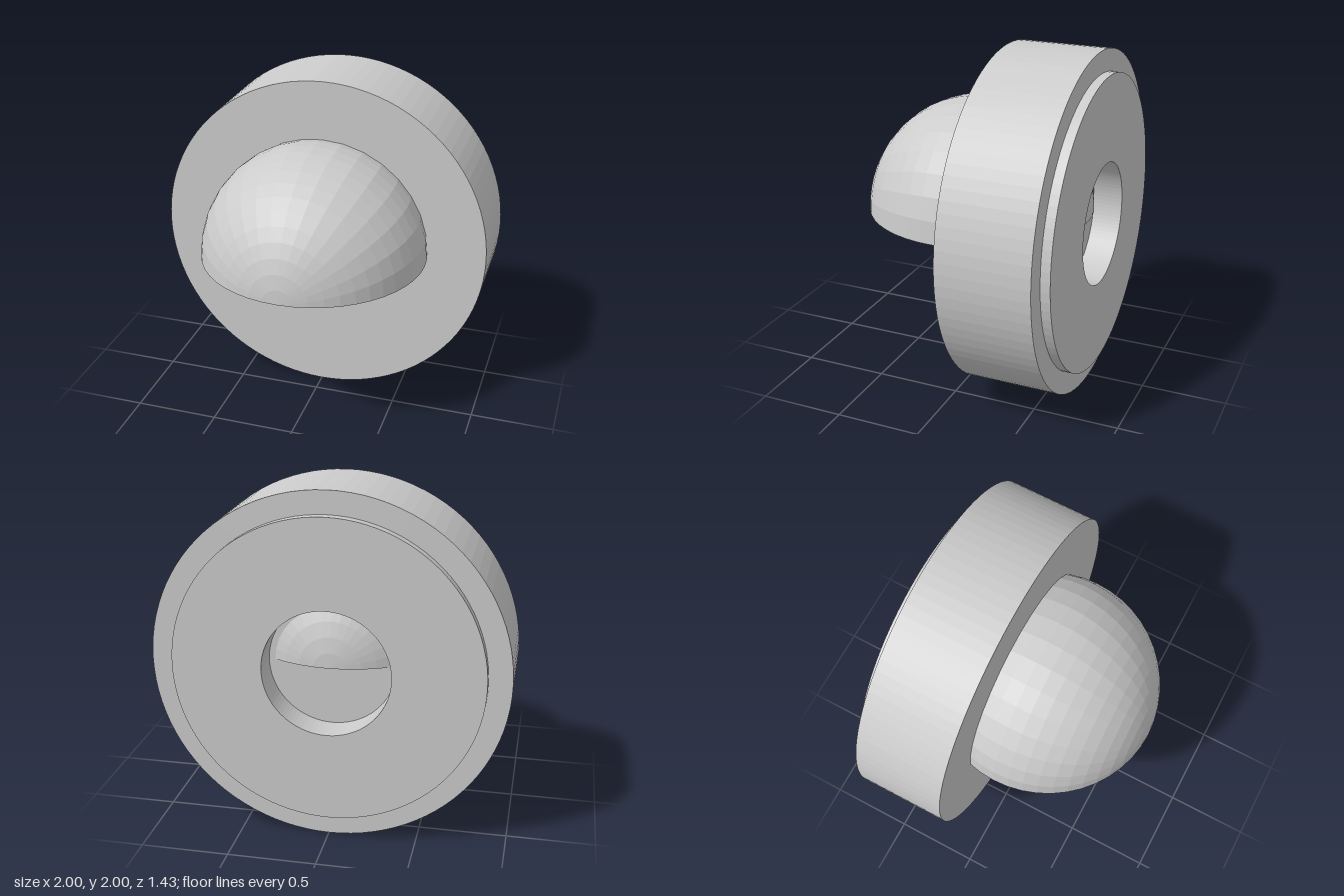
import * as THREE from 'three';

export function createModel() {
  const group = new THREE.Group();
  const material = new THREE.MeshStandardMaterial({ color: 0xcccccc, flatShading: true });

  const add = (name, geometry, y, z) => {
    const mesh = new THREE.Mesh(geometry, material);
    mesh.name = name;
    mesh.position.set(0, y, z);
    group.add(mesh);
  };

  // Round body with a stepped back flange and a blind hole, turned about the z axis
  const profile = [
    [0, -0.54], [0.36, -0.54], [0.36, -0.715], [0.87, -0.715],
    [0.87, -0.66], [1, -0.66], [1, -0.12], [0, -0.12],
  ].map(([r, z]) => new THREE.Vector2(r, z));
  add('discBody', new THREE.LatheGeometry(profile, 96).rotateX(Math.PI / 2), 1, 0);

  // Upper half of a ball with its poles on the z axis; its rear shows in the hole
  const radius = 0.67, domeZ = 0.045;
  const dome = new THREE.SphereGeometry(radius, 16, 24, 0, Math.PI).rotateX(-Math.PI / 2);
  add('dome', dome, 1, domeZ);

  // Flat underside of the dome
  add('domeUnderside', new THREE.CircleGeometry(radius, 48).rotateX(Math.PI / 2), 1, domeZ);

  return group;
}
